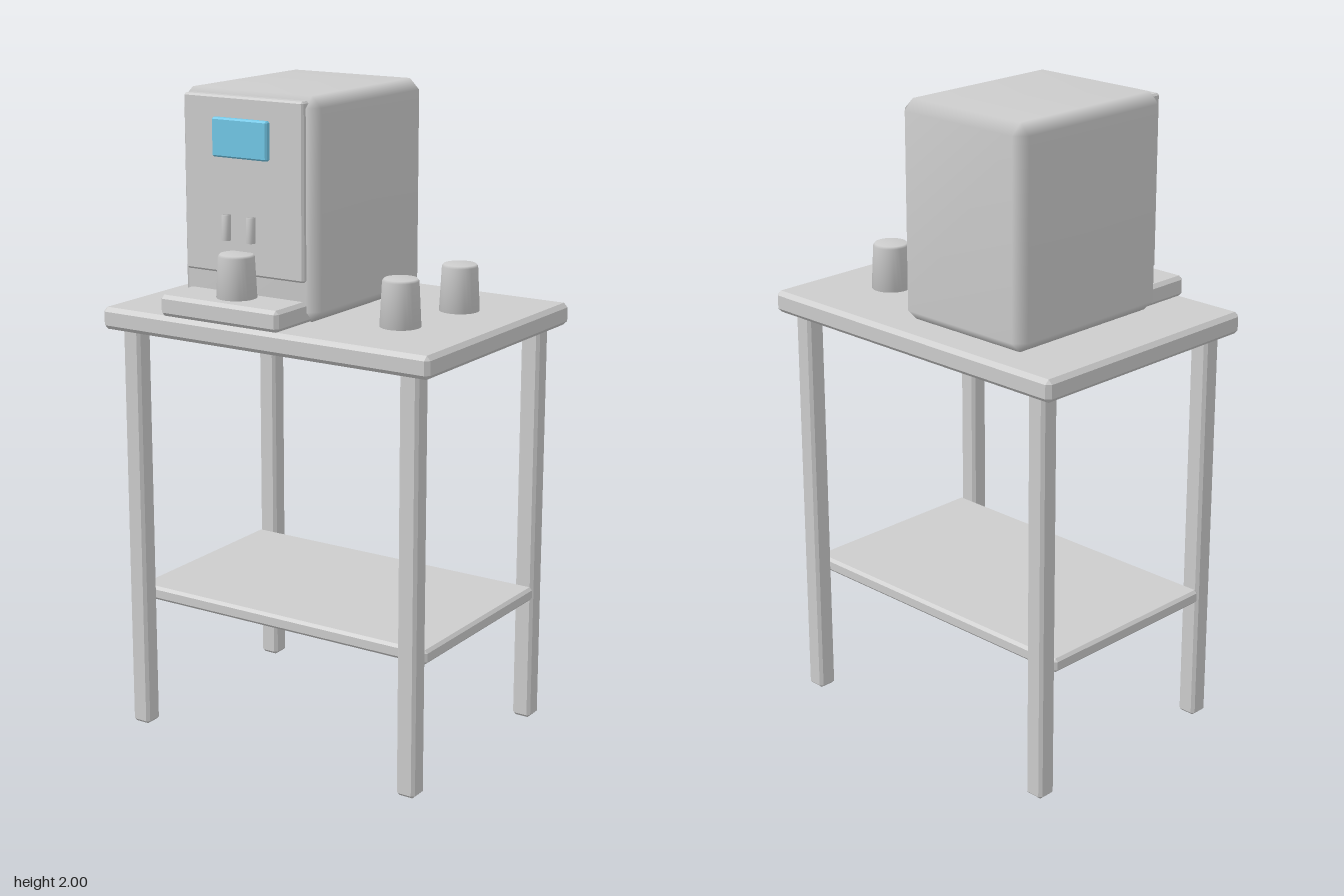
import * as THREE from 'three';
import { mergeVertices } from 'three/addons/utils/BufferGeometryUtils.js';
import { ConvexGeometry } from 'three/addons/geometries/ConvexGeometry.js';

const grey = new THREE.MeshStandardMaterial({ color: 0xcccccc });
grey.name = 'grey plastic';
const blue = new THREE.MeshStandardMaterial({ color: 0x72c8e8 });
blue.name = 'screen blue';

// Weld all corners so that normals blend over the whole surface
function smooth(geometry) {
  geometry.deleteAttribute('normal');
  geometry.deleteAttribute('uv');
  const welded = mergeVertices(geometry, 1e-4);
  welded.computeVertexNormals();
  return welded;
}

// Box between two corners with a flat chamfer along every edge
function chamferBox(min, max, bevel) {
  const c = min.map((v, i) => (v + max[i]) / 2);
  const h = min.map((v, i) => (max[i] - v) / 2);
  const points = [];
  for (const sx of [-1, 1]) for (const sy of [-1, 1]) for (const sz of [-1, 1]) {
    for (let face = 0; face < 3; face++) {
      const p = [sx, sy, sz].map((s, i) => c[i] + s * (h[i] - (i === face ? 0 : bevel)));
      points.push(new THREE.Vector3(...p));
    }
  }
  return new ConvexGeometry(points);
}

export function createModel() {
  const group = new THREE.Group();
  const add = (name, geometry, material = grey) => {
    const mesh = new THREE.Mesh(geometry, material);
    mesh.name = name;
    group.add(mesh);
    return mesh;
  };

  // Table
  add('tableTop', chamferBox([-0.573, 1.275, -0.417], [0.573, 1.343, 0.415], 0.013));
  add('shelf', chamferBox([-0.523, 0.4, -0.325], [0.523, 0.444, 0.325], 0.009));
  for (const x of [-0.49, 0.49]) for (const z of [-0.352, 0.352]) {
    add('leg', chamferBox([x - 0.031, 0, z - 0.031], [x + 0.031, 1.28, z + 0.031], 0.009));
  }

  // Machine housing, softly shaded over its chamfers
  add('housing', smooth(chamferBox([-0.385, 1.343, -0.333], [0.102, 2, 0.265], 0.033)));
  add('frontPanel', chamferBox([-0.352, 1.465, 0.243], [0.07, 1.987, 0.28], 0.006));
  add('dripTray', chamferBox([-0.352, 1.343, 0.2], [0.07, 1.407, 0.415], 0.011));
  add('screen', chamferBox([-0.24, 1.81, 0.27], [-0.045, 1.925, 0.297], 0.005), blue);

  // Dispensing nozzles
  for (const x of [-0.185, -0.097]) {
    add('nozzle', smooth(new THREE.CylinderGeometry(0.014, 0.014, 0.075, 16)))
      .position.set(x, 1.607, 0.304);
  }

  // Cups, wider at the foot, with a small chamfer at the top
  const cupProfile = [[0, 0], [0.061, 0], [0.054, 0.134], [0.049, 0.141], [0, 0.141]]
    .map(([r, y]) => new THREE.Vector2(r, y));
  for (const [x, y, z] of [[-0.142, 1.395, 0.315], [0.346, 1.343, -0.142], [0.311, 1.343, 0.136]]) {
    add('cup', smooth(new THREE.LatheGeometry(cupProfile, 32))).position.set(x, y, z);
  }
  return group;
}
